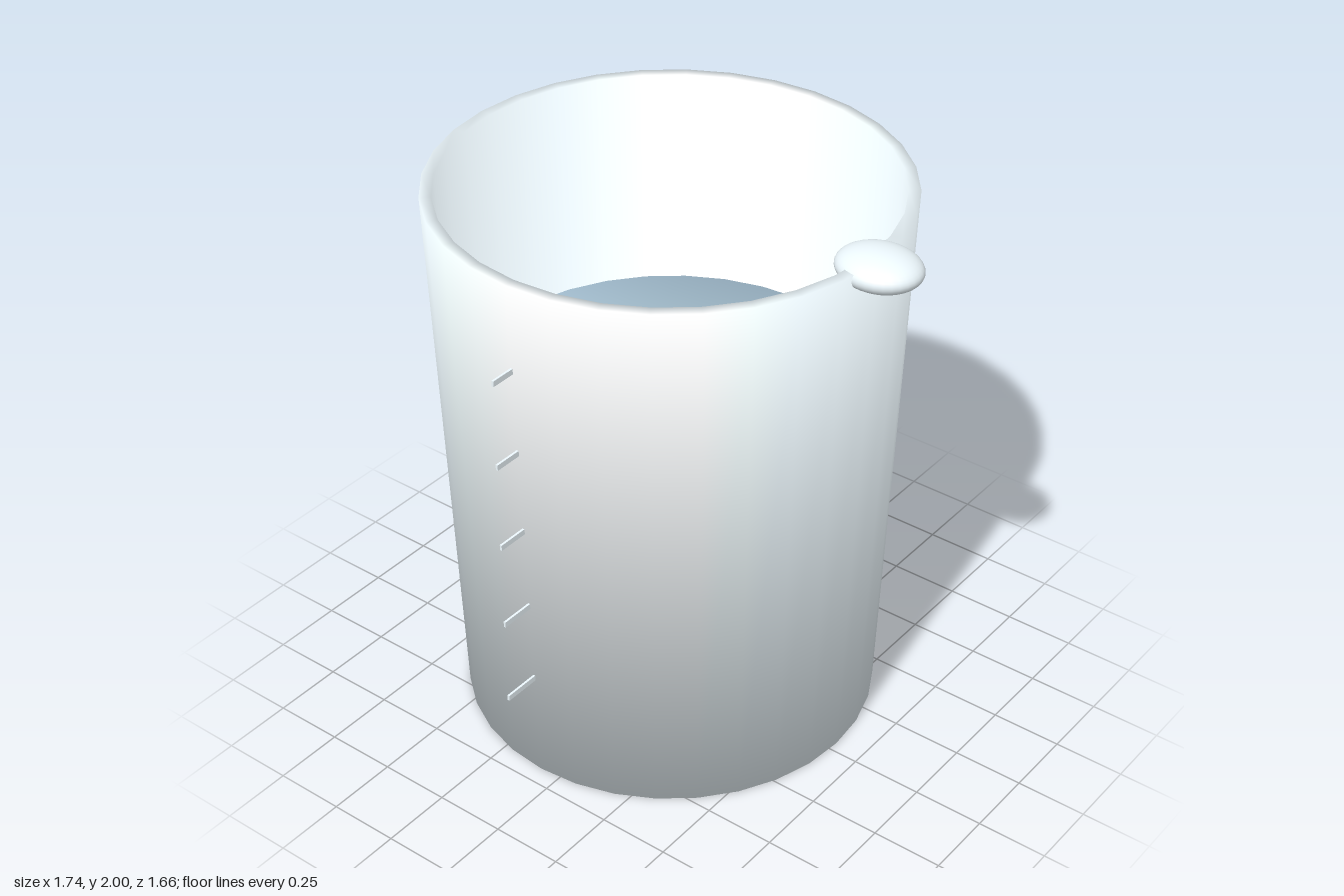
import * as THREE from 'three';

const SEGMENTS = 32;

// Closed solid of revolution with soft shading over its edges: the profile
// [radius, y] runs from the rim of the lower cap to the rim of the last cap.
function revolve(profile, lastCapUp = true) {
  const n = profile.length;
  // Outward normals of the lower cap, each wall and the last cap
  const faces = [new THREE.Vector2(0, -1)];
  for (let j = 0; j < n - 1; j++) {
    const [r0, y0] = profile[j], [r1, y1] = profile[j + 1];
    faces.push(new THREE.Vector2(y1 - y0, r0 - r1).normalize());
  }
  faces.push(new THREE.Vector2(0, lastCapUp ? 1 : -1));

  const positions = [], normals = [], index = [];
  profile.forEach(([r, y], j) => {
    const normal = faces[j].clone().add(faces[j + 1]).normalize();
    for (let i = 0; i < SEGMENTS; i++) {
      const a = (i / SEGMENTS) * Math.PI * 2, s = Math.sin(a), c = Math.cos(a);
      positions.push(r * s, y, r * c);
      normals.push(normal.x * s, normal.y, normal.x * c);
    }
  });

  // Walls
  for (let j = 0; j < n - 1; j++) {
    for (let i = 0; i < SEGMENTS; i++) {
      const k = (i + 1) % SEGMENTS;
      const a = j * SEGMENTS + i, b = j * SEGMENTS + k;
      index.push(a, b, b + SEGMENTS, a, b + SEGMENTS, a + SEGMENTS);
    }
  }
  // Caps
  const last = (n - 1) * SEGMENTS;
  for (let i = 1; i < SEGMENTS - 1; i++) {
    index.push(0, i + 1, i, last, last + i, last + i + 1);
  }

  const geometry = new THREE.BufferGeometry();
  geometry.setAttribute('position', new THREE.Float32BufferAttribute(positions, 3));
  geometry.setAttribute('normal', new THREE.Float32BufferAttribute(normals, 3));
  geometry.setIndex(index);
  return geometry;
}

export function createModel() {
  const model = new THREE.Group();
  const glass = new THREE.MeshStandardMaterial({ color: 0xeef9fe });
  const water = new THREE.MeshStandardMaterial({ color: 0xc8e8fe });

  const add = (name, geometry, material, x, y, z) => {
    const mesh = new THREE.Mesh(geometry, material);
    mesh.name = name;
    mesh.position.set(x, y, z);
    model.add(mesh);
    return mesh;
  };

  // Beaker axis and wall sizes
  const cx = -0.078, cz = -0.037, height = 1.96;
  const innerRadius = (y) => 0.685 + 0.068 * (y / height);

  // Tapered beaker with a thick wall and floor
  add('beaker', revolve([
    [0.722, 0], [0.792, height],
    [innerRadius(height), height], [innerRadius(0.04), 0.04],
  ]), glass, cx, 0, cz);

  // Liquid filling the beaker to about 60 percent
  const level = 1.18;
  add('liquid', revolve([
    [innerRadius(0.045), 0.045], [innerRadius(level), level],
  ]), water, cx, 0, cz);

  // Pouring spout: a flattened ball on the rim
  const spout = add('spout', new THREE.SphereGeometry(1, 32, 24), glass, 0.72, 1.94, cz);
  spout.scale.set(0.145, 0.06, 0.122);

  // Measuring marks running through the front wall
  const mark = new THREE.BoxGeometry(0.008, 0.02, 0.17);
  for (let i = 0; i < 5; i++) {
    add('measuringMark' + (i + 1), mark, glass, cx, 0.415 + i * 0.309, 0.747);
  }

  return model;
}
